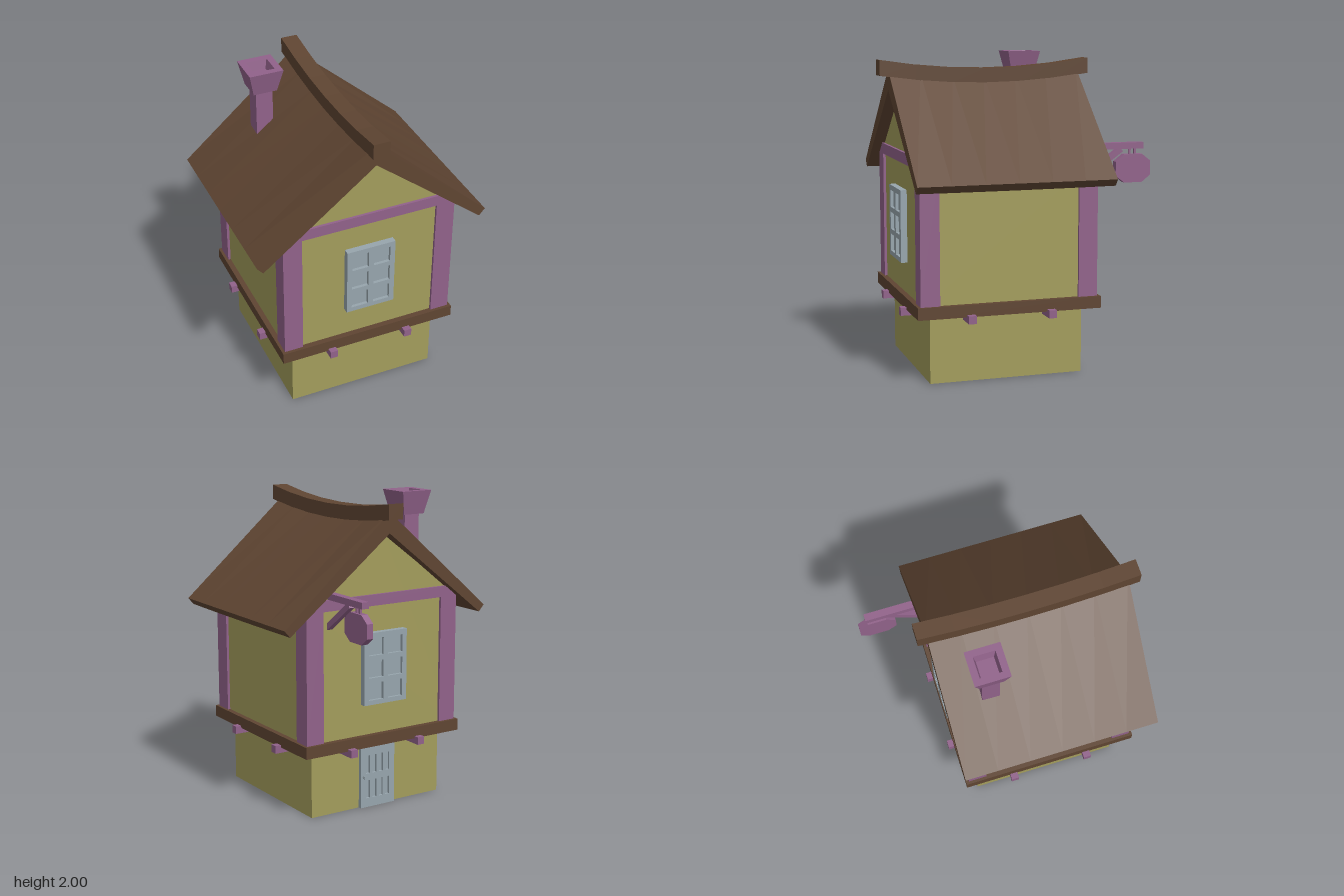
import * as THREE from 'three';

const material = (color) => new THREE.MeshStandardMaterial({ color, flatShading: true });
const WALL = material(0xa39d5c);
const BEAM = material(0x91628a);
const WOOD = material(0x5f4532);
const TRIM = material(0x97a5ad);

function add(parent, name, geometry, mat, x = 0, y = 0, z = 0) {
  const mesh = new THREE.Mesh(geometry, mat);
  mesh.name = name;
  mesh.position.set(x, y, z);
  parent.add(mesh);
  return mesh;
}

// Box given by its lower and upper limits on each axis
function block(parent, name, mat, [x0, x1], [y0, y1], [z0, z1]) {
  return add(parent, name, new THREE.BoxGeometry(x1 - x0, y1 - y0, z1 - z0), mat,
    (x0 + x1) / 2, (y0 + y1) / 2, (z0 + z1) / 2);
}

function polygon(points) {
  return new THREE.Shape(points.map(([x, y]) => new THREE.Vector2(x, y)));
}

const extrude = (shape, depth, steps = 1) =>
  new THREE.ExtrudeGeometry(shape, { depth, steps, bevelEnabled: false });

// Upright panel with a grid of sunken rectangles, facing +z from z = 0
function sunkenPanel(name, w, h, columns, rows, holeW, holeH, depth, recess) {
  const panel = new THREE.Group();
  panel.name = name;
  const rect = (x0, y0, x1, y1) => [[x0, y0], [x1, y0], [x1, y1], [x0, y1]];
  const shape = polygon(rect(-w / 2, 0, w / 2, h));
  for (const x of columns) for (const y of rows) {
    shape.holes.push(polygon(rect(x - holeW / 2, y - holeH / 2, x + holeW / 2, y + holeH / 2).reverse()));
  }
  add(panel, name + 'Frame', extrude(shape, depth), TRIM);
  block(panel, name + 'Back', TRIM, [-w / 2 + 0.005, w / 2 - 0.005], [0.005, h - 0.005], [0, depth - recess]);
  return panel;
}

// The ridge hangs lower in the middle than at its ends
const sag = (z) => 0.058 * (1 - (z / 0.688) ** 2);

function bend(geometry, weight) {
  const p = geometry.attributes.position;
  for (let i = 0; i < p.count; i++) {
    p.setY(i, p.getY(i) - sag(p.getZ(i)) * weight(p.getX(i)));
  }
  geometry.computeVertexNormals();
  return geometry;
}

export function createModel() {
  const model = new THREE.Group();
  model.name = 'cottage';
  const house = new THREE.Group();
  house.name = 'house';
  house.position.z = 0.148;
  model.add(house);

  // Ground floor and the overhanging floor plate
  block(house, 'groundFloor', WALL, [-0.49, 0.49], [0, 0.43], [-0.492, 0.492]);
  block(house, 'floorPlate', WOOD, [-0.585, 0.585], [0.425, 0.5], [-0.587, 0.587]);
  for (const s of [-0.257, 0.257]) {
    block(house, 'crossJoist', BEAM, [-0.625, 0.625], [0.39, 0.44], [s - 0.025, s + 0.025]);
    block(house, 'longJoist', BEAM, [s - 0.025, s + 0.025], [0.39, 0.44], [-0.625, 0.625]);
  }

  // Upper floor with gables
  const gable = polygon([[-0.55, 0.49], [0.55, 0.49], [0.55, 1.35], [0, 1.785], [-0.55, 1.35]]);
  add(house, 'upperFloor', extrude(gable, 1.1), WALL, 0, 0, -0.55);

  // Corner posts and gable beams
  for (const sz of [-1, 1]) {
    for (const sx of [-1, 1]) {
      add(house, 'cornerPost', new THREE.BoxGeometry(0.122, 0.84, 0.122), BEAM, sx * 0.506, 0.91, sz * 0.506);
    }
    add(house, 'gableBeam', new THREE.BoxGeometry(1.11, 0.07, 0.06), BEAM, 0, 1.36, sz * 0.537);
  }

  // Sagging roof and ridge beam
  const chevron = polygon([[0, 1.785], [0.714, 1.212], [0.752, 1.255], [0, 1.915],
    [-0.752, 1.255], [-0.714, 1.212]]);
  const roof = extrude(chevron, 1.248, 6);
  roof.translate(0, 0, -0.624);
  add(house, 'roof', bend(roof, (x) => 1 - Math.abs(x) / 0.755), WOOD);
  const ridge = new THREE.BoxGeometry(0.106, 0.098, 1.375, 1, 1, 6);
  ridge.translate(0, 1.914, 0);
  add(house, 'ridgeBeam', bend(ridge, () => 1), WOOD);

  // Square chimney, hollow at the top
  const profile = [[0, 1.4], [0.055, 1.4], [0.055, 1.85], [0.077, 1.85], [0.11, 2],
    [0.068, 2], [0.055, 1.94], [0, 1.94]];
  const flue = new THREE.LatheGeometry(
    profile.map(([half, y]) => new THREE.Vector2(half * Math.SQRT2, y)), 4);
  flue.rotateY(Math.PI / 4);
  add(house, 'chimney', flue, BEAM, -0.33, 0, -0.345);

  // Six-pane windows, front and back
  for (const side of [1, -1]) {
    const pane = sunkenPanel('window', 0.32, 0.46, [-0.072, 0.072], [0.085, 0.228, 0.371], 0.11, 0.11, 0.045, 0.02);
    pane.position.set(0, 0.7, side * 0.546);
    if (side < 0) pane.rotation.y = Math.PI;
    house.add(pane);
  }

  // Back door with slotted panels and a flared knob
  const door = sunkenPanel('door', 0.26, 0.41, [-0.075, -0.025, 0.025, 0.075], [0.12, 0.285], 0.03, 0.12, 0.028, 0.015);
  door.position.set(0.005, 0, -0.488);
  door.rotation.y = Math.PI;
  const knob = new THREE.CylinderGeometry(0.018, 0.008, 0.036, 8);
  knob.rotateX(Math.PI / 2);
  add(door, 'doorKnob', knob, TRIM, -0.108, 0.207, 0.046);
  house.add(door);

  // Hanging sign on a braced arm
  const sign = new THREE.Group();
  sign.name = 'hangingSign';
  sign.position.x = 0.391;
  model.add(sign);
  block(sign, 'signArm', BEAM, [-0.024, 0.024], [1.4, 1.44], [-0.786, -0.38]);
  const brace = add(sign, 'signBrace', new THREE.BoxGeometry(0.036, 0.036, 0.31), BEAM, 0, 1.309, -0.512);
  brace.rotation.x = Math.atan(0.714);
  for (const z of [-0.699, -0.734]) {
    block(sign, 'signHanger', BEAM, [-0.007, 0.007], [1.355, 1.405], [z - 0.007, z + 0.007]);
  }
  const octagon = polygon([[-0.06, -0.09], [0.06, -0.09], [0.118, -0.045], [0.118, 0.045],
    [0.06, 0.09], [-0.06, 0.09], [-0.118, 0.045], [-0.118, -0.045]]);
  const board = extrude(octagon, 0.044);
  board.translate(0, 0, -0.022);
  board.rotateY(Math.PI / 2);
  add(sign, 'signBoard', board, BEAM, 0, 1.275, -0.717);

  return model;
}
